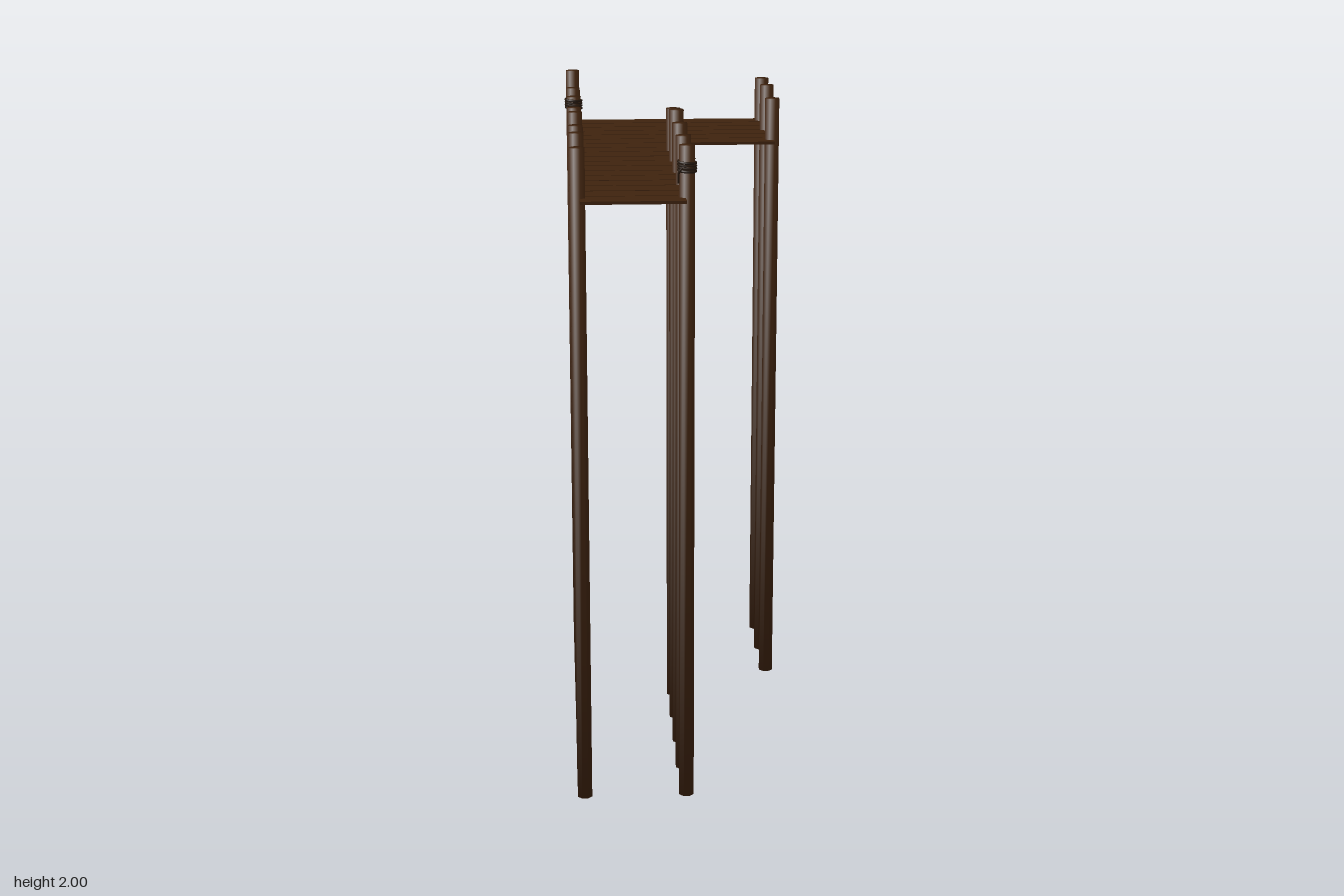
import * as THREE from 'three';

export function createModel() {
  const group = new THREE.Group();
  const wood = new THREE.MeshStandardMaterial({ color: 0x3f230e });
  wood.name = 'dark wood';
  const rope = new THREE.MeshStandardMaterial({ color: 0x24170c });
  rope.name = 'dark rope';

  let seed = 7;
  const jitter = (amount) => {
    seed = (seed * 16807) % 2147483647;
    return (seed / 2147483647 - 0.5) * 2 * amount;
  };
  const add = (name, geometry, material, x = 0, y = 0, z = 0) => {
    const mesh = new THREE.Mesh(geometry, material);
    mesh.name = name;
    mesh.position.set(x, y, z);
    group.add(mesh);
    return mesh;
  };

  // Post: octagonal pole whose rim normals blend softly into the end caps
  function post(x, z, height) {
    const g = new THREE.CylinderGeometry(0.0235, 0.0235, height, 8);
    const p = g.attributes.position, n = g.attributes.normal;
    const v = new THREE.Vector3();
    for (let i = 0; i < p.count; i++) {
      const r = Math.hypot(p.getX(i), p.getZ(i));
      if (r < 0.001) continue;
      v.set(p.getX(i) / r, Math.sign(p.getY(i)) * 0.8, p.getZ(i) / r).normalize();
      n.setXYZ(i, v.x, v.y, v.z);
    }
    g.rotateY(Math.PI / 8);
    add('post', g, wood, x, height / 2, z);
  }

  const rowZ = [0.643, 0.457, 0.268, 0.082, -0.1, -0.287, -0.477, -0.667];
  const rightHeights = [1.97, 1.98, 1.97, 1.98, 1.965, 1.97, 1.97, 2.0];
  const innerHeights = [1.975, 1.97, 1.975, 1.985, 1.96];
  const leftHeights = [1.96, 1.975, 1.97];
  rightHeights.forEach((h, i) => post(-0.313, rowZ[i], h));
  innerHeights.forEach((h, i) => post(-0.007, rowZ[i], h));
  leftHeights.forEach((h, i) => post(0.318, rowZ[i + 5], h));

  // Board with slightly uneven corners; matching top and bottom corners move together
  function board(name, sx, sy, sz, amountX, amountY, amountZ) {
    const g = new THREE.BoxGeometry(sx, sy, sz);
    const p = g.attributes.position;
    const shifts = {};
    for (let i = 0; i < p.count; i++) {
      const key = [p.getX(i), p.getY(i), p.getZ(i)].map(Math.sign).join();
      const columnKey = [p.getX(i), p.getZ(i)].map(Math.sign).join('c');
      shifts[columnKey] ??= [-Math.sign(p.getX(i)) * Math.abs(jitter(amountX)), jitter(amountZ)];
      shifts[key] ??= jitter(amountY);
      p.setXYZ(i, p.getX(i) + shifts[columnKey][0], p.getY(i) + shifts[key], p.getZ(i) + shifts[columnKey][1]);
    }
    g.computeVertexNormals();
    return add(name, g, wood);
  }

  // L-shaped walkway: six long planks at the back, twelve short ones in front
  for (let i = 0; i < 18; i++) {
    const wide = i < 6;
    const x0 = -0.31, x1 = wide ? 0.326 : -0.008;
    const plank = board('walkwayPlank', x1 - x0, 0.009, 0.071, 0.005, 0, 0.002);
    plank.position.set((x0 + x1) / 2, 1.825, -0.667 + i * 0.0784);
  }

  // Ladder rungs between two posts of the right-hand row
  for (let i = 0; i < 20; i++) {
    const rung = board('ladderRung', 0.01, 0.027, 0.152, 0, 0.003, 0);
    rung.position.set(-0.32, 0.755 + i * 0.0555, -0.382);
    rung.rotation.x = -0.02 + jitter(0.02);
  }

  // Rope coils near the tops of two posts
  function coil(x, y, z) {
    const points = [];
    for (let i = 0; i <= 40; i++) {
      const a = (i / 40) * Math.PI * 2 * 4;
      points.push(new THREE.Vector3(Math.cos(a) * 0.0245, (i / 40 - 0.5) * 0.032, Math.sin(a) * 0.0245));
    }
    const curve = new THREE.CatmullRomCurve3(points);
    add('ropeCoil', new THREE.TubeGeometry(curve, 96, 0.004, 6), rope, x, y, z);
  }
  coil(-0.313, 1.95, -0.287);
  coil(-0.007, 1.917, 0.643);

  // Loose rope end
  const tail = new THREE.CatmullRomCurve3([
    new THREE.Vector3(-0.02, 1.915, 0.664),
    new THREE.Vector3(-0.031, 1.9, 0.662),
    new THREE.Vector3(-0.032, 1.87, 0.66),
  ]);
  add('ropeEnd', new THREE.TubeGeometry(tail, 10, 0.0035, 6), rope);

  return group;
}
